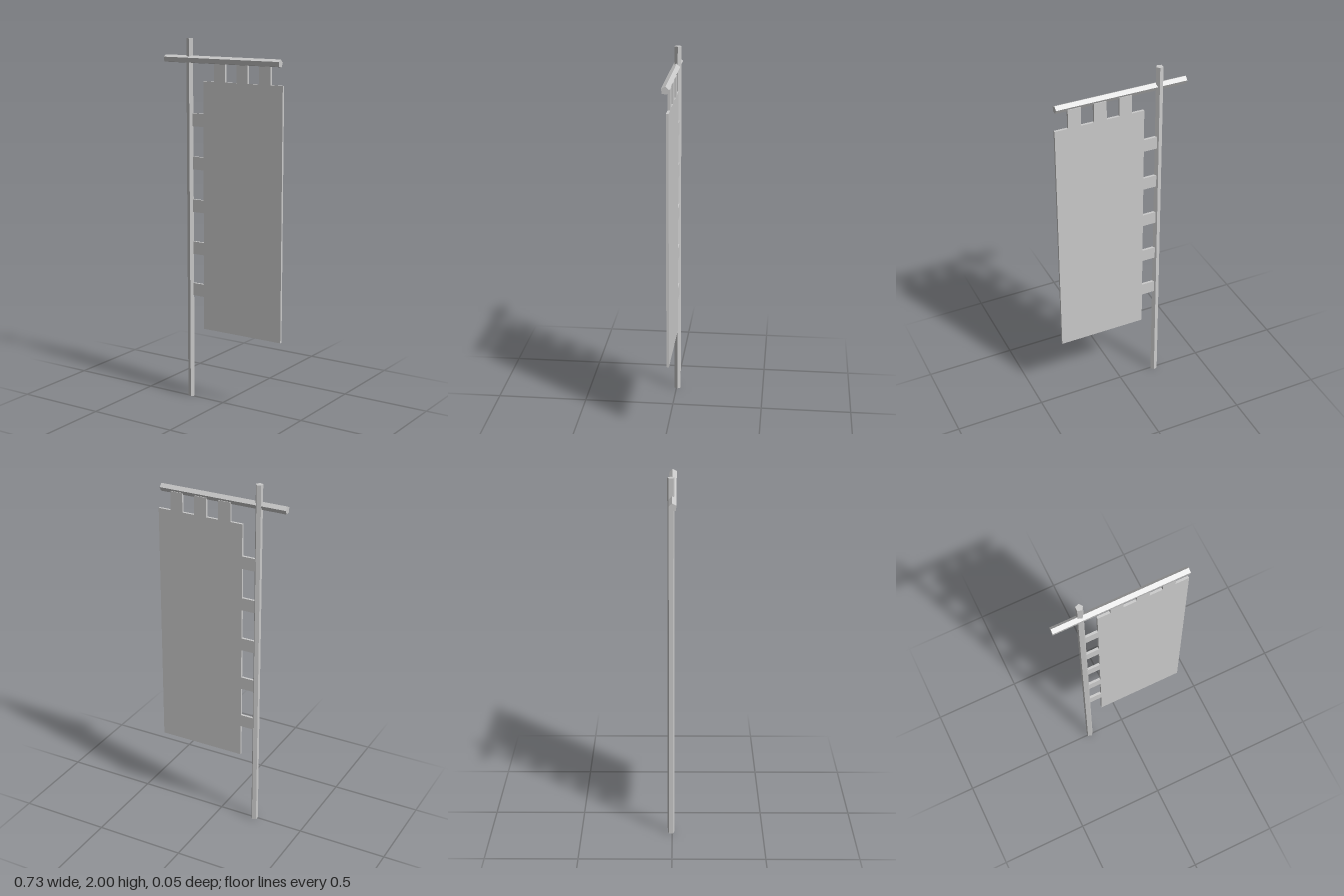
import * as THREE from 'three';

const material = new THREE.MeshStandardMaterial({ color: 0xcccccc, flatShading: true });

// Five-sided rod; turn sets the angle of its first edge
function rod(name, radius, length, turn) {
  const geometry = new THREE.CylinderGeometry(radius, radius, length, 5, 1, false, turn);
  const mesh = new THREE.Mesh(geometry, material);
  mesh.name = name;
  return mesh;
}

// Cloth outline with tabs along the pole side and the top edge
function clothShape() {
  const left = -0.127, right = 0.365, bottom = 0.405, top = 1.775;
  const tab = 0.07, poleX = -0.21, barY = 1.88;
  const shape = new THREE.Shape();
  shape.moveTo(right, top);
  for (const x of [0.222, 0.082, -0.058]) {
    shape.lineTo(x + tab, top);
    shape.lineTo(x + tab, barY);
    shape.lineTo(x, barY);
    shape.lineTo(x, top);
  }
  shape.lineTo(left, top);
  for (let i = 0; i < 5; i++) {
    const y = 1.6 - i * 0.2355;
    shape.lineTo(left, y);
    shape.lineTo(poleX, y);
    shape.lineTo(poleX, y - tab);
    shape.lineTo(left, y - tab);
  }
  shape.lineTo(left, bottom);
  shape.lineTo(right, bottom);
  shape.closePath();
  return shape;
}

export function createModel() {
  const model = new THREE.Group();
  model.name = 'banner';

  // Upright pole
  const pole = rod('pole', 0.0195, 2, Math.PI / 2);
  pole.position.set(-0.2145, 1, -0.006);
  model.add(pole);

  // Horizontal bar across the pole
  const bar = rod('crossbar', 0.0215, 0.722, THREE.MathUtils.degToRad(-27));
  bar.rotation.z = -Math.PI / 2;
  bar.position.set(-0.0065, 1.888, 0.003);
  model.add(bar);

  // Thin cloth hung from both
  const cloth = new THREE.Mesh(
    new THREE.ExtrudeGeometry(clothShape(), { depth: 0.0135, bevelEnabled: false }),
    material
  );
  cloth.name = 'cloth';
  cloth.position.z = -0.0165;
  model.add(cloth);

  return model;
}
